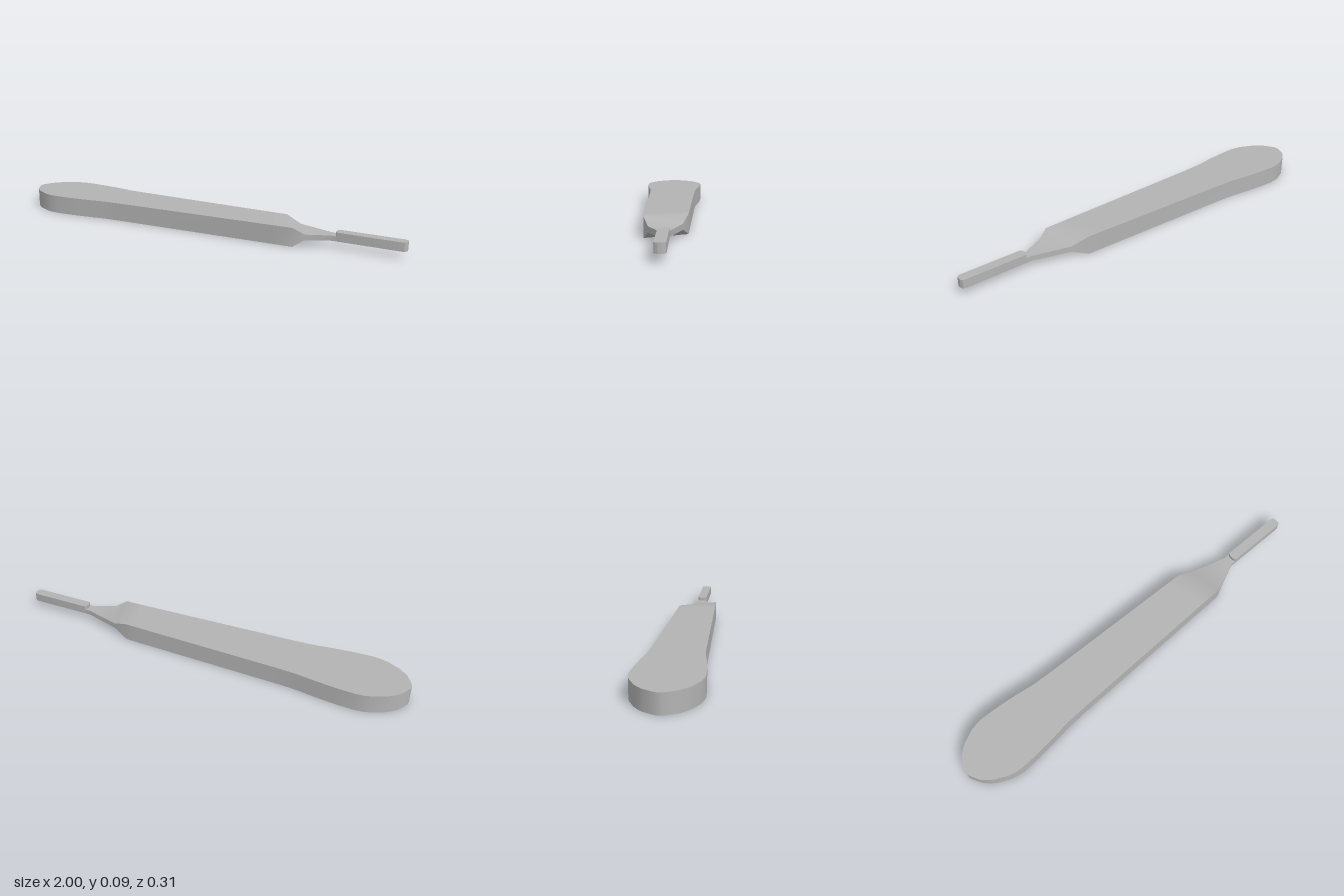
import * as THREE from 'three';
import { toCreasedNormals } from 'three/addons/utils/BufferGeometryUtils.js';

// Skin rectangular cross-sections: [xFront, zFront, xBack, zBack, yBottom, yTop]
function loft(stations) {
  const pos = [];
  const rings = stations.map(([xf, zf, xb, zb, y0, y1]) =>
    [[xf, y0, zf], [xf, y1, zf], [xb, y1, zb], [xb, y0, zb]]);
  const quad = (a, b, c, d) => [a, b, c, a, c, d].forEach((p) => pos.push(...p));
  for (let i = 0; i < rings.length - 1; i++) {
    const a = rings[i], b = rings[i + 1];
    for (let j = 0; j < 4; j++) {
      const k = (j + 1) % 4;
      quad(a[j], b[j], b[k], a[k]);
    }
  }
  quad(...rings[0]);
  quad(...rings[rings.length - 1].slice().reverse());
  const geo = new THREE.BufferGeometry();
  geo.setAttribute('position', new THREE.Float32BufferAttribute(pos, 3));
  return toCreasedNormals(geo, 0.7);
}

export function createModel() {
  const group = new THREE.Group();
  const steel = new THREE.MeshStandardMaterial({ color: 0xb3b3b3 });
  steel.name = 'brushed steel';
  const add = (name, geo) => {
    const mesh = new THREE.Mesh(geo, steel);
    mesh.name = name;
    group.add(mesh);
    return mesh;
  };

  // Rounded, gently narrowing grip: x and half width
  const outline = [[-1, 0.012], [-0.985, 0.042], [-0.968, 0.07], [-0.945, 0.092],
    [-0.92, 0.111], [-0.86, 0.14], [-0.825, 0.149], [-0.786, 0.153], [-0.7, 0.149],
    [-0.61, 0.14], [-0.5, 0.125], [-0.4, 0.12]];
  const stations = outline.map(([x, w]) => [x, w, x, -w, 0, 0.09]);
  // Oblique shoulder, then bevel down into the thin neck
  stations.push(
    [0.4, 0.096, 0.33, -0.099, 0, 0.09],
    [0.502, 0.093, 0.4, -0.097, 0, 0.09],
    [0.552, 0.072, 0.48, -0.075, 0.033, 0.06],
    [0.657, 0.024, 0.657, -0.024, 0.034, 0.058],
    [0.7, 0.024, 0.7, -0.024, 0.034, 0.058],
  );
  add('handle', loft(stations));

  // Blade tang with rounded ends, drawn in plan
  const w = 0.024, r = 0.02, x0 = 0.675, x1 = 1;
  const plan = new THREE.Shape();
  plan.moveTo(x0 + 0.01, -w);
  plan.lineTo(x1 - r, -w);
  plan.quadraticCurveTo(x1, -w, x1, -w + r);
  plan.lineTo(x1, w - r);
  plan.quadraticCurveTo(x1, w, x1 - r, w);
  plan.lineTo(x0 + 0.01, w);
  plan.quadraticCurveTo(x0 - 0.005, 0, x0 + 0.01, -w);
  const tang = new THREE.ExtrudeGeometry(plan, { depth: 0.042, bevelEnabled: false, curveSegments: 6 });
  tang.rotateX(-Math.PI / 2);
  tang.translate(0, 0.034, 0);
  add('bladeTang', toCreasedNormals(tang, 0.7));

  return group;
}
